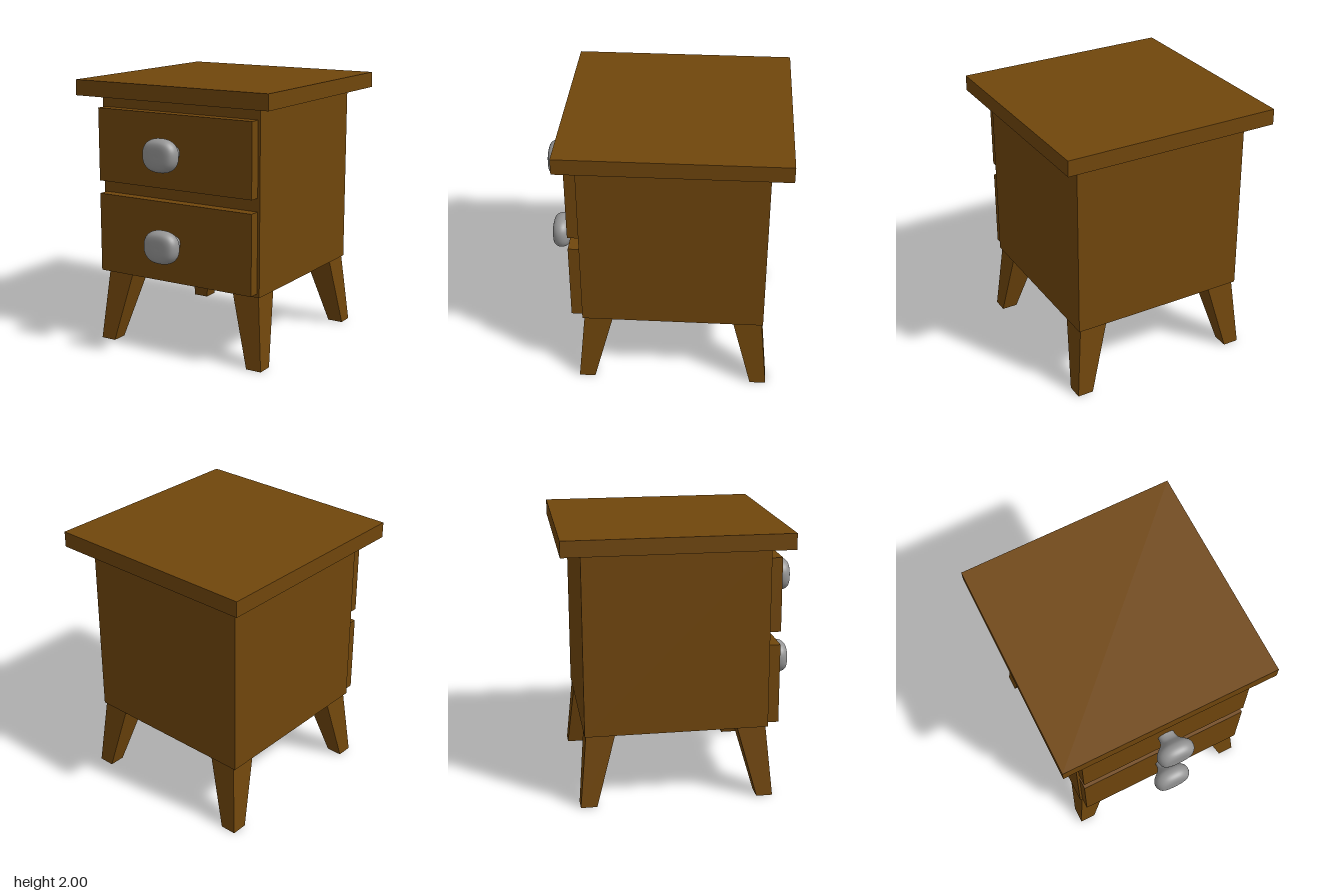
import * as THREE from 'three';

export function createModel() {
  const model = new THREE.Group();
  model.name = 'nightstand';

  const wood = new THREE.MeshStandardMaterial({ color: 0x70460c });
  wood.name = 'brown wood';
  const metal = new THREE.MeshStandardMaterial({ color: 0x959595 });
  metal.name = 'grey metal';

  const add = (name, geometry, material) => {
    const mesh = new THREE.Mesh(geometry, material);
    mesh.name = name;
    model.add(mesh);
    return mesh;
  };

  // Box given by its lower and upper limits on each axis
  const board = (name, [x0, x1], [y0, y1], [z0, z1]) =>
    add(name, new THREE.BoxGeometry(x1 - x0, y1 - y0, z1 - z0), wood)
      .position.set((x0 + x1) / 2, (y0 + y1) / 2, (z0 + z1) / 2);

  // Cabinet and drawers
  board('top', [-0.813, 0.813], [1.884, 2], [-0.892, 0.738]);
  board('body', [-0.673, 0.673], [0.535, 1.884], [-0.746, 0.6]);
  board('upperDrawer', [-0.655, 0.655], [1.253, 1.797], [0.59, 0.682]);
  board('lowerDrawer', [-0.655, 0.655], [0.562, 1.155], [0.59, 0.682]);

  // Splayed, tapering leg; sx and sz choose the corner
  const legHeight = 0.535;
  const makeLeg = (sx, sz) => {
    const geometry = new THREE.BoxGeometry(1, legHeight, 1);
    geometry.translate(0, legHeight / 2, 0);
    const p = geometry.attributes.position;
    for (let i = 0; i < p.count; i++) {
      const upper = p.getY(i) > 0.1;
      const width = upper ? 0.212 : 0.12;
      const reach = upper ? 0.549 : 0.647;
      p.setX(i, sx * reach + p.getX(i) * width);
      p.setZ(i, sz * (reach + 0.006) + p.getZ(i) * width);
    }
    geometry.computeVertexNormals();
    return geometry;
  };
  for (const [sx, side] of [[1, 'Left'], [-1, 'Right']]) {
    for (const [sz, end] of [[1, 'front'], [-1, 'back']]) {
      add(`${end}${side}Leg`, makeLeg(sx, sz), wood).position.set(0.004, 0, -0.075);
    }
  }

  // Knob: turned profile (radius, depth), widened and slightly squared
  const profile = new THREE.SplineCurve([
    [0.054, 0], [0.054, 0.03], [0.064, 0.06], [0.09, 0.088], [0.113, 0.115],
    [0.122, 0.146], [0.117, 0.178], [0.1, 0.203], [0.075, 0.213], [0.04, 0.215], [0, 0.215],
  ].map(([r, d]) => new THREE.Vector2(r, d))).getPoints(30);
  profile.forEach((v) => { v.x = Math.max(v.x, 0); });
  const knob = new THREE.LatheGeometry(profile, 40);
  knob.rotateX(Math.PI / 2);
  const p = knob.attributes.position;
  for (let i = 0; i < p.count; i++) {
    const x = p.getX(i), y = p.getY(i), r = Math.hypot(x, y);
    if (r < 1e-6) continue;
    const n = 2.4;
    const k = (Math.abs(x / r) ** n + Math.abs(y / r) ** n) ** (-1 / n);
    p.setXY(i, x * k * 1.15, y * k);
  }
  // Keep the lathe seam smooth by matching its first and last normals
  knob.computeVertexNormals();
  const nrm = knob.attributes.normal, rows = profile.length;
  for (let j = 0; j < rows; j++) {
    const a = new THREE.Vector3().fromBufferAttribute(nrm, j);
    const last = 40 * rows + j;
    a.add(new THREE.Vector3().fromBufferAttribute(nrm, last)).normalize();
    nrm.setXYZ(j, a.x, a.y, a.z);
    nrm.setXYZ(last, a.x, a.y, a.z);
  }
  add('upperKnob', knob, metal).position.set(0, 1.523, 0.677);
  add('lowerKnob', knob, metal).position.set(0, 0.862, 0.677);

  return model;
}
